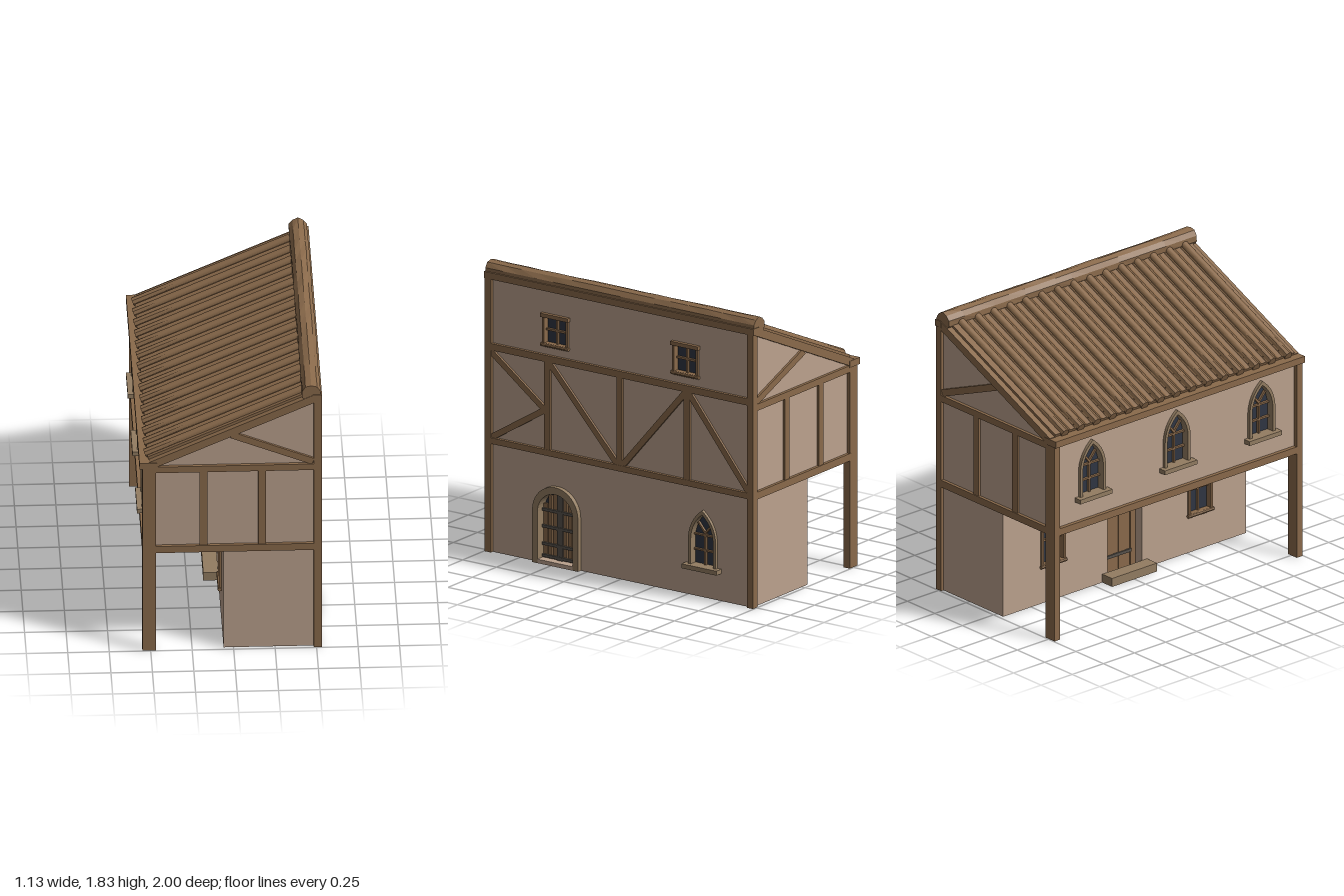
import * as THREE from 'three';

const mat = (color, extra = {}) => new THREE.MeshStandardMaterial({ color, ...extra });
const plaster = mat(0xbca28e, { side: THREE.DoubleSide });
const wood = mat(0x8a6a4b, { flatShading: true });
const stone = mat(0x937d62, { flatShading: true });
const glass = mat(0x2f3643, { side: THREE.DoubleSide });
const iron = mat(0x57524c);

function add(parent, name, geometry, material, x = 0, y = 0, z = 0) {
  const m = new THREE.Mesh(geometry, material);
  m.name = name;
  m.position.set(x, y, z);
  parent.add(m);
  return m;
}
const box = (parent, name, material, w, h, d, x, y, z) =>
  add(parent, name, new THREE.BoxGeometry(w, h, d), material, x, y, z);

// Straight timber between two points of a facade plane
function bar(parent, name, u1, v1, u2, v2, width, depth, z = 0, material = wood) {
  const m = box(parent, name, material, Math.hypot(u2 - u1, v2 - v1), width, depth, (u1 + u2) / 2, (v1 + v2) / 2, z);
  m.rotation.z = Math.atan2(v2 - v1, u2 - u1);
  return m;
}

// Opening outline, standing on v = 0: rect, round or pointed
function outline(kind, w, h, spring, u = 0, v = 0) {
  const s = new THREE.Shape(), r = w / 2;
  s.moveTo(-r, 0);
  s.lineTo(r, 0);
  if (kind === 'rect') { s.lineTo(r, h); s.lineTo(-r, h); }
  else if (kind === 'round') { s.lineTo(r, spring); s.absarc(0, spring, r, 0, Math.PI, false); }
  else {
    const c = spring + (h - spring) * 0.62;
    s.lineTo(r, spring);
    s.quadraticCurveTo(r * 0.95, c, 0, h);
    s.quadraticCurveTo(-r * 0.95, c, -r, spring);
  }
  return new THREE.Shape(s.getPoints(10).map(p => p.add(new THREE.Vector2(u, v))));
}

function wall(parent, name, corners, holes = []) {
  const s = new THREE.Shape(corners.map(c => new THREE.Vector2(...c)));
  s.holes = holes;
  return add(parent, name, new THREE.ShapeGeometry(s), plaster);
}

// Frame ring reaching from front down into the wall
function ring(parent, name, outer, inner, material, front, depth) {
  outer.holes = [inner];
  const g = new THREE.ExtrudeGeometry(outer, { depth, bevelEnabled: false });
  return add(parent, name, g, material, 0, 0, front - depth);
}

function place(parent, name, u, v) {
  const g = new THREE.Group();
  g.name = name;
  g.position.set(u, v, 0);
  parent.add(g);
  return g;
}

function archedWindow(parent, u, v) {
  const g = place(parent, 'archedWindow', u, v);
  ring(g, 'windowFrame', outline('pointed', 0.205, 0.35, 0.16), outline('pointed', 0.165, 0.323, 0.16), stone, 0.02, 0.07);
  add(g, 'pane', new THREE.ShapeGeometry(outline('pointed', 0.17, 0.327, 0.16)), glass, 0, 0, -0.03);
  box(g, 'sill', stone, 0.26, 0.028, 0.09, 0, -0.014, 0.005);
  bar(g, 'mullion', 0, 0, 0, 0.21, 0.013, 0.016, -0.02);
  for (const y of [0.09, 0.185]) bar(g, 'glazingBar', -0.083, y, 0.083, y, 0.011, 0.016, -0.02);
  for (const s of [-1, 1]) bar(g, 'branchBar', 0, 0.2, s * 0.052, 0.262, 0.012, 0.016, -0.02);
}

function squareWindow(parent, u, v, h, lintel = 0.024, projection = 0.024) {
  const g = place(parent, 'squareWindow', u, v);
  ring(g, 'windowFrame', outline('rect', 0.19, h), outline('rect', 0.16, h), wood, 0.015, 0.06);
  add(g, 'pane', new THREE.ShapeGeometry(outline('rect', 0.165, h)), glass, 0, 0, -0.025);
  bar(g, 'mullion', 0, 0, 0, h, 0.013, 0.016, -0.017);
  bar(g, 'glazingBar', -0.08, h / 2, 0.08, h / 2, 0.013, 0.016, -0.017);
  box(g, 'lintel', wood, 0.205, lintel, projection + 0.045, 0, h - lintel / 2, (projection - 0.045) / 2);
  const sill = add(g, 'sill', new THREE.CylinderGeometry(0.012, 0.012, 0.205, 8), wood, 0, 0.012, 0.012);
  sill.rotation.z = Math.PI / 2;
  box(g, 'sillBoard', wood, 0.19, 0.02, 0.06, 0, 0.012, -0.02);
}

function archedDoor(parent, u) {
  const g = place(parent, 'archedDoor', u, 0);
  ring(g, 'doorFrame', outline('round', 0.34, 0, 0.33), outline('round', 0.26, 0, 0.325), stone, 0.03, 0.09);
  add(g, 'darkBacking', new THREE.ShapeGeometry(outline('round', 0.265, 0, 0.325)), glass, 0, 0, -0.045);
  box(g, 'threshold', plaster, 0.26, 0.025, 0.08, 0, 0.0125, -0.01);
  for (let i = -3; i <= 3; i++) {
    const x = i * 0.037, top = 0.325 + Math.sqrt(0.13 ** 2 - (Math.abs(x) + 0.012) ** 2);
    bar(g, i ? 'doorPlank' : 'centreStrap', x, 0.025, x, top, i ? 0.027 : 0.04, 0.016, i ? -0.034 : -0.026, i ? wood : iron);
  }
  for (const y of [0.04, 0.115, 0.225, 0.33]) bar(g, 'ironStrap', -0.128, y, 0.128, y, 0.018, 0.012, -0.02, iron);
}

function recessedDoor(parent) {
  const g = place(parent, 'recessedDoor', 0, 0);
  ring(g, 'doorReveal', outline('rect', 0.31, 0.57), outline('rect', 0.28, 0.55), plaster, 0.001, 0.075);
  for (let i = 0; i < 6; i++) box(g, 'doorPlank', wood, 0.042, 0.55, 0.02 + (i % 2) * 0.006, -0.117 + i * 0.0468, 0.275, -0.07);
  box(g, 'doorBacking', wood, 0.28, 0.55, 0.008, 0, 0.275, -0.072);
  for (const y of [0.12, 0.42]) bar(g, 'ironStrap', -0.13, y, 0.1, y, 0.02, 0.01, -0.054, iron);
  box(g, 'doorStep', stone, 0.36, 0.055, 0.09, 0, 0.0275, 0.045);
}

function facade(parent, name, x, y, z, turn) {
  const g = place(parent, name, x, y);
  g.position.z = z;
  g.rotation.y = turn;
  return g;
}

export function createModel() {
  const house = new THREE.Group();
  house.name = 'timberHouse';

  // Tall side wall with door, windows and timber framing (u = -z)
  const tall = facade(house, 'tallSide', 0.51, 0, 0, Math.PI / 2);
  wall(tall, 'tallWall', [[-0.975, 0], [0.975, 0], [0.975, 1.74], [-0.975, 1.74]], [
    outline('round', 0.3, 0, 0.33, -0.467, 0.001), outline('pointed', 0.185, 0.335, 0.16, 0.615, 0.2),
    outline('rect', 0.17, 0.19, 0, -0.48, 1.38), outline('rect', 0.17, 0.19, 0, 0.485, 1.38)]);
  archedDoor(tall, -0.467);
  archedWindow(tall, 0.615, 0.2);
  for (const u of [-0.48, 0.485]) squareWindow(tall, u, 1.37, 0.21);
  for (const [y, h] of [[0.705, 0.038], [1.298, 0.043]]) bar(tall, 'rail', -0.97, y, 0.97, y, h, 0.04);
  bar(tall, 'wallPlate', -1, 1.745, 1, 1.745, 0.042, 0.055, -0.005);
  for (const u of [-0.535, 0, 0.5]) bar(tall, 'stud', u, 0.72, u, 1.28, 0.042, 0.036);
  for (const [a, b, c, d] of [[-0.96, 1.27, -0.555, 0.97], [-0.96, 0.72, -0.555, 0.97], [-0.525, 1.275, -0.01, 0.715],
    [0.01, 0.715, 0.49, 1.275], [0.51, 1.275, 0.965, 0.715]]) bar(tall, 'brace', a, b, c, d, 0.038, 0.03);

  // Overhanging upper storey on the low side (u = z)
  const low = facade(house, 'overhangSide', -0.525, 0, 0, -Math.PI / 2);
  const spots = [-0.68, 0, 0.68];
  wall(low, 'overhangWall', [[-0.975, 0.68], [0.975, 0.68], [0.975, 1.29], [-0.975, 1.29]],
    spots.map(u => outline('pointed', 0.185, 0.335, 0.16, u, 0.88)));
  for (const u of spots) archedWindow(low, u, 0.88);
  bar(low, 'overhangBeam', -0.97, 0.703, 0.97, 0.703, 0.045, 0.06, -0.005);
  bar(low, 'eaveBeam', -1, 1.29, 1, 1.29, 0.042, 0.105, -0.01);

  // Recessed ground floor wall
  const porch = facade(house, 'porchSide', -0.06, 0, 0, -Math.PI / 2);
  wall(porch, 'porchWall', [[-0.975, 0], [0.975, 0], [0.975, 0.68], [-0.975, 0.68]], [
    outline('rect', 0.29, 0.558, 0, 0, 0.001), outline('rect', 0.17, 0.32, 0, -0.58, 0.24), outline('rect', 0.17, 0.32, 0, 0.6, 0.24)]);
  recessedDoor(porch);
  for (const u of [-0.58, 0.6]) squareWindow(porch, u, 0.23, 0.34, 0.05, 0.04);
  const floor = add(house, 'upperFloor', new THREE.PlaneGeometry(1.035, 1.95), plaster, -0.0075, 0.682, 0);
  floor.rotation.x = Math.PI / 2;

  // Two gable ends, mirrored
  for (const s of [1, -1]) {
    const g = facade(house, 'gableEnd', 0, 0, s * 0.975, s > 0 ? 0 : Math.PI);
    wall(g, 'gableWall', [[-0.06, 0], [0.51, 0], [0.51, 1.75], [-0.525, 1.29], [-0.525, 0.68], [-0.06, 0.68]].map(([x, y]) => [x * s, y]));
    const b = (name, x1, y1, x2, y2, w, d = 0.03) => bar(g, name, x1 * s, y1, x2 * s, y2, w, d);
    b('sill', -0.48, 0.703, 0.485, 0.703, 0.046, 0.04);
    b('tieBeam', -0.48, 1.26, 0.485, 1.26, 0.042, 0.04);
    for (const x of [-0.182, 0.172]) b('stud', x, 0.72, x, 1.245, 0.047);
    b('rafter', -0.5, 1.293, 0.5, 1.743, 0.05, 0.045);
    b('gableBrace', -0.01, 1.49, 0.48, 1.295, 0.043);
    box(house, 'lowPost', wood, 0.082, 1.28, 0.045, -0.509, 0.64, s * 0.972);
    box(house, 'tallPost', wood, 0.048, 1.74, 0.045, 0.507, 0.87, s * 0.972);
  }

  // Tiled roof: rolls and shallow pans swept up the slope
  const pitch = 0.128, r = 0.026, first = -0.902;
  const tiles = new THREE.Shape();
  tiles.moveTo(-0.96, -0.012);
  tiles.lineTo(-0.96, 0.008);
  for (let i = 0; i < 15; i++) {
    const c = first + i * pitch;
    tiles.lineTo(c - r, 0.004);
    tiles.absarc(c, 0.008, r, Math.PI, 0, true);
    if (i < 14) for (const [t, h] of [[0.25, 0.002], [0.35, 0.012], [0.5, 0.006], [0.65, 0.012], [0.75, 0.002]]) tiles.lineTo(c + pitch * t, h);
  }
  tiles.lineTo(0.96, 0.008);
  tiles.lineTo(0.96, -0.012);
  const slope = Math.atan(0.447);
  const roof = place(house, 'roof', -0.515, 1.325);
  roof.rotation.z = slope;
  const sheet = add(roof, 'roofTiles', new THREE.ExtrudeGeometry(tiles, { depth: 1.03, bevelEnabled: false, curveSegments: 6 }), wood);
  sheet.rotation.y = Math.PI / 2;
  // Projecting lower tile ends
  for (let i = 0; i < 15; i++) {
    const len = 0.3 + 0.1 * Math.sin(i * 2.3);
    const t = add(roof, 'eaveTile', new THREE.CylinderGeometry(r, r + 0.003, len, 8), wood, len / 2 - 0.012, 0.007, -first - i * pitch);
    t.rotation.z = -Math.PI / 2;
  }

  // Rough hewn ridge log
  const log = new THREE.CylinderGeometry(0.058, 0.058, 1.99, 10, 16);
  const p = log.attributes.position;
  for (let i = 0; i < p.count; i++) {
    const x = p.getX(i), y = p.getY(i), z = p.getZ(i), a = Math.atan2(z, x);
    const k = 1 + 0.06 * Math.sin(y * 17 + Math.cos(a) * 5) * Math.cos(Math.sin(a) * 4 + y * 9);
    p.setX(i, x * k);
    p.setZ(i, z * k);
  }
  log.computeVertexNormals();
  add(house, 'ridgeLog', log, wood, 0.468, 1.77, 0).rotation.x = Math.PI / 2;

  return house;
}
